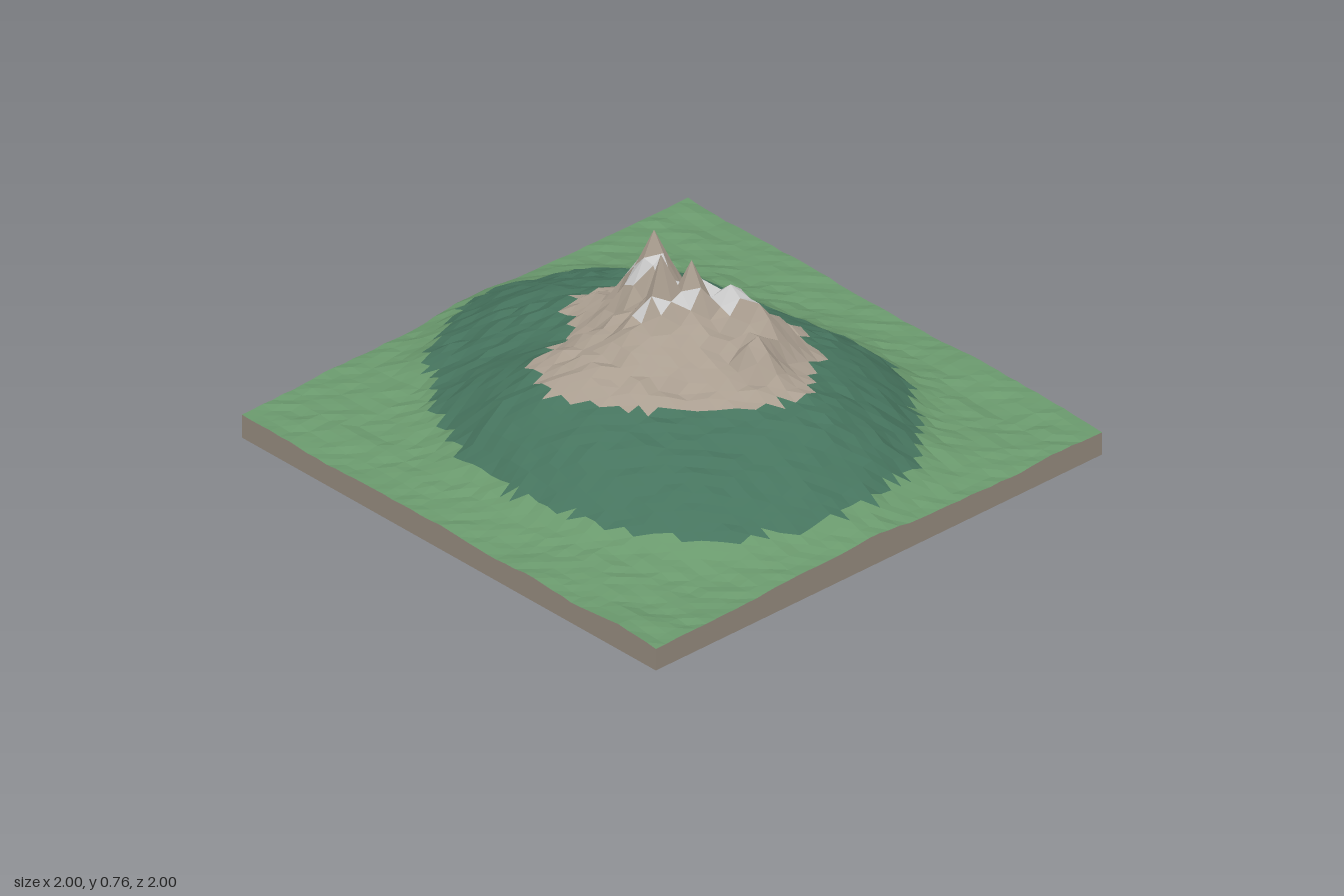
import * as THREE from 'three';

const CELLS = 44;

// Height contours as [x, z] points, turned into radius-by-angle tables
const toPolar = pts => pts.map(([x, z]) => [Math.atan2(z, x), Math.hypot(x, z)]).sort((a, b) => a[0] - b[0]);
const ROCK_LINE = toPolar([
  [0.5, -0.12], [0.42, 0.06], [0.27, 0.2], [0.2, 0.33], [0.08, 0.43], [-0.12, 0.45], [-0.27, 0.34], [-0.27, 0.17],
  [-0.43, 0.1], [-0.48, -0.04], [-0.4, -0.2], [-0.27, -0.34], [-0.14, -0.3], [0, -0.25], [0.12, -0.36],
  [0.2, -0.44], [0.28, -0.38], [0.4, -0.25]]);
const FOREST_LINE = toPolar([
  [0.87, -0.1], [0.88, 0.05], [0.8, 0.3], [0.68, 0.5], [0.45, 0.65], [0.2, 0.72], [-0.1, 0.73], [-0.4, 0.65],
  [-0.6, 0.5], [-0.8, 0.35], [-0.93, 0.1], [-0.95, -0.1], [-0.85, -0.35], [-0.7, -0.5], [-0.4, -0.62],
  [-0.2, -0.65], [0, -0.7], [0.2, -0.72], [0.45, -0.65], [0.6, -0.55], [0.75, -0.4]]);

// Summits: x, z, height, steepness
const PEAKS = [
  [-0.13, -0.04, 0.755, 2.1], [0, 0.05, 0.755, 3.2], [0.045, -0.045, 0.7, 2], [0.14, -0.14, 0.65, 1.6],
  [0.23, -0.19, 0.58, 1.3], [0.3, -0.09, 0.56, 1.4], [-0.18, -0.12, 0.6, 1.7], [0.02, 0.19, 0.54, 1.3]];

function radiusAt(table, angle) {
  const n = table.length;
  let i = table.findIndex(p => p[0] > angle);
  if (i < 0) i = n;
  const [a0, r0] = table[(i + n - 1) % n], [a1, r1] = table[i % n];
  const turn = 2 * Math.PI;
  const span = (a1 - a0 + turn) % turn, t = ((angle - a0 + turn) % turn) / span;
  return r0 + (r1 - r0) * t;
}

// Repeatable noise
function hash(i, j) {
  const s = Math.sin(i * 127.1 + j * 311.7) * 43758.5453;
  return (s - Math.floor(s)) * 2 - 1;
}
function noise(x, z) {
  const i = Math.floor(x), j = Math.floor(z);
  const u = THREE.MathUtils.smoothstep(x - i, 0, 1), v = THREE.MathUtils.smoothstep(z - j, 0, 1);
  const lerp = THREE.MathUtils.lerp;
  return lerp(lerp(hash(i, j), hash(i + 1, j), u), lerp(hash(i, j + 1), hash(i + 1, j + 1), u), v);
}

function heightAt(x, z) {
  const r = Math.hypot(x, z), angle = Math.atan2(z, x);
  const rock = radiusAt(ROCK_LINE, angle), forest = radiusAt(FOREST_LINE, angle);
  let y, rough;
  if (r > forest) {
    y = 0.087 + 0.063 * Math.exp((forest - r) / 0.09);
    rough = 0.006;
  } else if (r > rock) {
    const t = (forest - r) / (forest - rock);
    y = 0.15 + 0.21 * t + 0.02 * Math.sin(Math.PI * t);
    rough = 0.009;
  } else {
    y = 0.36 + 0.23 * (1 - r / rock);
    for (const [px, pz, top, steep] of PEAKS) y = Math.max(y, top - steep * Math.hypot(x - px, z - pz));
    rough = 0.022 * Math.min(1, 0.4 + 2 * (1 - r / rock));
  }
  // Keep the summits crisp
  if (PEAKS.slice(0, 2).some(p => Math.hypot(x - p[0], z - p[1]) < 0.035)) rough = 0;
  const edge = Math.max(Math.abs(x), Math.abs(z)) > 0.99 ? 0.4 : 1;
  return y + rough * edge * hash(Math.round(x * 100), Math.round(z * 100)) + 0.009 * noise(x * 5 + 9, z * 5 + 4);
}

function makeMesh(name, positions, color) {
  const geometry = new THREE.BufferGeometry();
  geometry.setAttribute('position', new THREE.Float32BufferAttribute(positions, 3));
  geometry.computeVertexNormals();
  const mesh = new THREE.Mesh(geometry, new THREE.MeshStandardMaterial({ color, flatShading: true }));
  mesh.name = name;
  return mesh;
}

export function createModel() {
  const group = new THREE.Group();
  group.name = 'mountainTerrain';

  // Displaced ground grid
  const plane = new THREE.PlaneGeometry(2, 2, CELLS, CELLS).rotateX(-Math.PI / 2);
  const p = plane.attributes.position;
  for (let i = 0; i < p.count; i++) {
    let x = p.getX(i), z = p.getZ(i);
    // Nudge the nearest grid vertices onto the two main summits
    for (const [px, pz] of PEAKS.slice(0, 2)) {
      if (Math.abs(x - px) <= 1 / CELLS && Math.abs(z - pz) <= 1 / CELLS) { x = px; z = pz; }
    }
    p.setXYZ(i, x, heightAt(x, z), z);
  }

  // Sort the faces into height bands; snow settles on the gentler high faces
  const bands = { grassland: [], forest: [], rock: [], snow: [] };
  const faces = plane.toNonIndexed().attributes.position;
  const tri = new THREE.Triangle(), normal = new THREE.Vector3();
  for (let i = 0; i < faces.count; i += 3) {
    tri.setFromAttributeAndIndices(faces, i, i + 1, i + 2);
    tri.getNormal(normal);
    const y = (tri.a.y + tri.b.y + tri.c.y) / 3;
    const band = y > 0.56 && normal.y > 0.44 ? 'snow' : y > 0.36 ? 'rock' : y > 0.15 ? 'forest' : 'grassland';
    for (const v of [tri.a, tri.b, tri.c]) bands[band].push(v.x, v.y, v.z);
  }
  const colors = { grassland: 0x6a996d, forest: 0x46745e, rock: 0xaa9e90, snow: 0xe8e8e6 };
  for (const name in bands) group.add(makeMesh(name, bands[name], colors[name]));

  // Plinth walls follow the edge of the ground on all four sides
  const walls = [];
  for (let side = 0; side < 4; side++) {
    const c = Math.round(Math.cos(side * Math.PI / 2)), s = Math.round(Math.sin(side * Math.PI / 2));
    const edge = k => {
      const u = -1 + 2 * k / CELLS;
      return [u * c + s, -u * s + c];
    };
    for (let k = 0; k < CELLS; k++) {
      const [x0, z0] = edge(k), [x1, z1] = edge(k + 1);
      const y0 = heightAt(x0, z0), y1 = heightAt(x1, z1);
      walls.push(x0, 0, z0, x1, 0, z1, x1, y1, z1, x0, 0, z0, x1, y1, z1, x0, y0, z0);
    }
  }
  group.add(makeMesh('plinthWalls', walls, 0x91877b));

  // Underside
  group.add(makeMesh('plinthBottom', [-1, 0, -1, 1, 0, -1, 1, 0, 1, -1, 0, -1, 1, 0, 1, -1, 0, 1], 0x91877b));
  return group;
}
